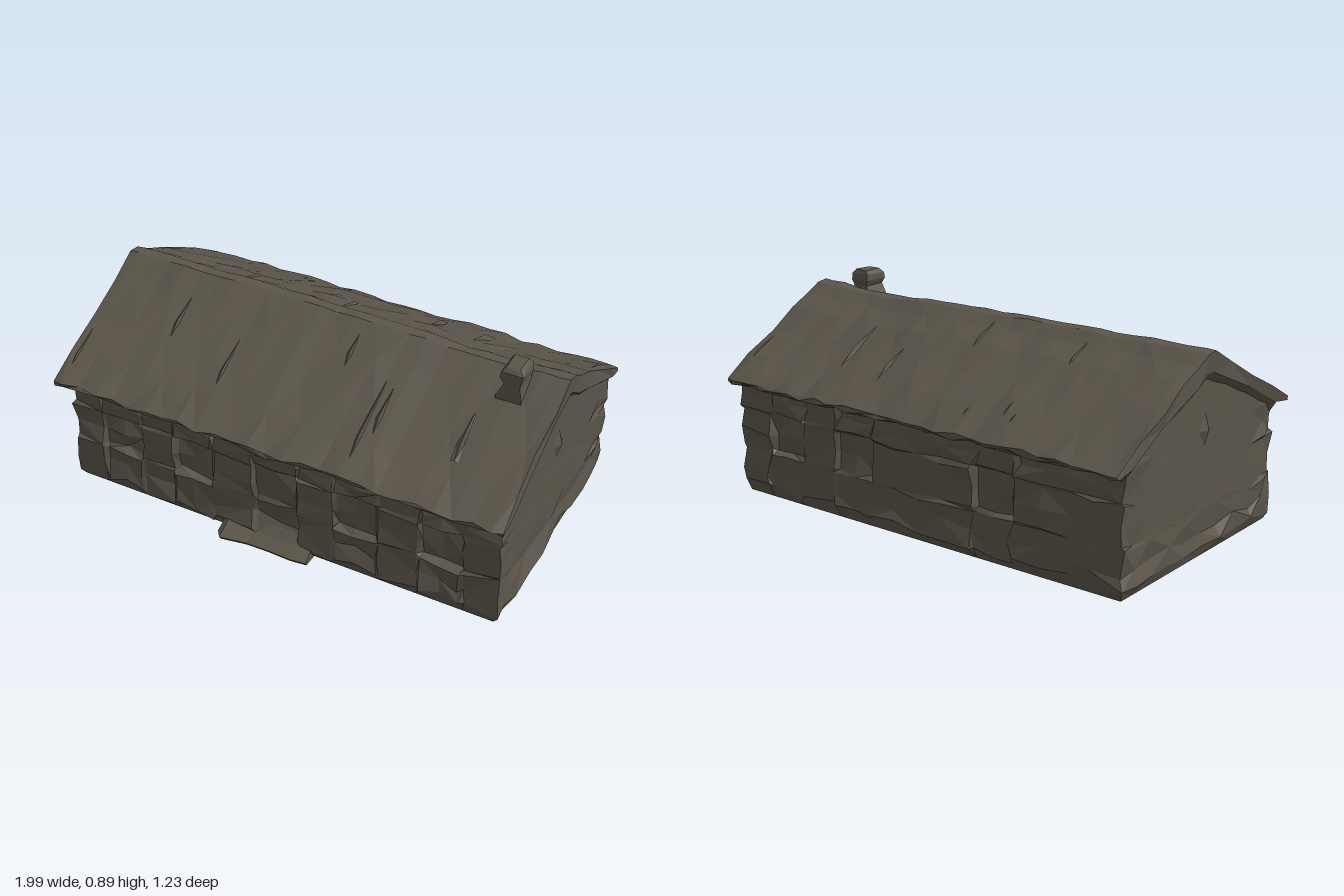
import * as THREE from 'three';

const stone = new THREE.MeshStandardMaterial({ color: 0x5b554a, flatShading: true });
stone.name = 'weathered stone';

// Repeatable noise in -1..1 tied to a position, so shared corners stay joined
function noise(x, y, z, k) {
  const s = Math.sin(x * 127.1 + y * 311.7 + z * 74.7 + k * 53.3) * 43758.5453;
  return (s - Math.floor(s)) * 2 - 1;
}
function rough([x, y, z], ax, ay, az) {
  return [x + ax * noise(x, y, z, 1), y + ay * noise(x, y, z, 2), z + az * noise(x, y, z, 3)];
}

// Surface through rows of points
function grid(rows) {
  const n = rows[0].length, index = [];
  for (let r = 0; r < rows.length - 1; r++) {
    for (let c = 0; c < n - 1; c++) {
      const a = r * n + c, b = a + 1, d = a + n, e = d + 1;
      if ((r + c) % 2) index.push(a, b, e, a, e, d);
      else index.push(a, b, d, b, e, d);
    }
  }
  const g = new THREE.BufferGeometry();
  g.setAttribute('position', new THREE.Float32BufferAttribute(rows.flat(2), 3));
  g.setIndex(index);
  g.computeVertexNormals();
  return g;
}

function add(group, name, geometry) {
  const m = new THREE.Mesh(geometry, stone);
  m.name = name;
  group.add(m);
  return m;
}

const E = 0.008;
const YS = [0, 0.045, 0.11, 0.2 - E, 0.2 + E, 0.28, 0.37 - E, 0.37 + E, 0.43, 0.5];
const FRONT = 0.524, BACK = -0.538, SIDE = 0.96, INSET = 0.012;

// Footing tucks in at the ground and bulges just above it
function wallPoint(x, y, z, amount = 1, free = true) {
  const sx = Math.abs(x) === SIDE ? Math.sign(x) : 0;
  const sz = z === FRONT ? 1 : z === BACK ? -1 : 0;
  if (y === 0) return [x - sx * INSET, 0, z - sz * INSET];
  const p = rough([x, y, z], sx ? 0.013 * amount : 0.006, y < 0.15 ? 0.022 : 0.006,
    sz ? 0.013 * amount : 0.006);
  const flare = y < 0.05 ? 0.012 : 0;
  p[0] += sx * flare;
  p[2] += sz * flare;
  // Uneven courses and joints away from the openings
  if (free && y > 0.15 && y < 0.45) p[1] += 0.03 * noise(x, 0, z, 5);
  if (!sx && (y < 0.15 || y > 0.4)) p[0] += 0.025 * noise(0, y, z, 6);
  return p;
}

// Long wall with sunken openings, each [x0, x1, y0, y1]
function longWall(z, openings) {
  const xs = [];
  for (const [a, b] of openings) xs.push(a - E, a + E, (a + b) / 2, b - E, b + E);
  for (let i = 0; i <= 16; i++) {
    const x = i === 0 ? -SIDE : i === 16 ? SIDE : -SIDE + (i / 16) * 2 * SIDE;
    if (i === 0 || i === 16 || xs.every(v => Math.abs(v - x) > 0.045)) xs.push(x);
  }
  xs.sort((a, b) => (a - b) * Math.sign(z));
  return grid(YS.map(y => xs.map(x => {
    const free = openings.every(([a, b]) => x < a - 0.02 || x > b + 0.02);
    const p = wallPoint(x, y, z, 1, free);
    if (openings.some(([a, b, c, d]) => x > a && x < b && y > c && y < d)) p[2] -= Math.sign(z) * 0.025;
    return p;
  })));
}

// Gable wall rises from the eaves line to the underside of the roof
function gableWall(side) {
  const zs = [FRONT, 0.46, 0.36, 0.24, 0.12, 0, -0.12, -0.24, -0.36, -0.46, BACK];
  if (side < 0) zs.reverse();
  const rows = YS.map(y => zs.map(z =>
    wallPoint(side * SIDE, y, z, Math.abs(z) > 0.4 || y < 0.12 ? 1 : 0.1)));
  rows.push(zs.map(z => [side * SIDE, 0.5 + 0.23 * (1 - Math.abs(z) / 0.545), z * 0.99]));
  return grid(rows);
}

// Roof profile as [z, y]: top from front eave to back, and the matching underside
const TOP = [[0.59, 0.51], [0.45, 0.585], [0.3, 0.665], [0.14, 0.75], [0.01, 0.825], [-0.04, 0.822],
  [-0.1, 0.785], [-0.2, 0.74], [-0.33, 0.665], [-0.47, 0.59], [-0.607, 0.508]];
const UNDER = [[0.585, 0.492], [0.52, 0.457], [0.3, 0.575], [0.14, 0.645], [0.01, 0.69], [-0.03, 0.69],
  [-0.1, 0.66], [-0.2, 0.62], [-0.33, 0.56], [-0.53, 0.462], [-0.6, 0.492]];

function roofPoint(x, [z, y], under) {
  const eave = Math.abs(z) > 0.55;
  const p = rough([x, y, z], 0.007, under || eave ? 0.008 : 0.005, eave ? 0.012 : 0.002);
  if (!under && !eave) p[1] -= 0.018 * Math.exp(-(((x - 0.6) / 0.25) ** 2));
  // Soffit lifts outward at the verges
  if (under && !eave && Math.abs(x) > 0.98) p[1] += 0.045;
  return p;
}

function buildRoof(group) {
  const xs = [-0.986];
  for (let i = 0; i <= 24; i++) xs.push(-0.95 + (i / 24) * 1.9);
  xs.push(0.986);
  const top = TOP.map(q => xs.map(x => roofPoint(x, q, false)));
  const under = UNDER.map(q => xs.map(x => roofPoint(x, q, true)));
  add(group, 'roofTop', grid(top));
  add(group, 'roofUnderside', grid([...under].reverse()));
  add(group, 'frontEave', grid([under[0], top[0]]));
  add(group, 'backEave', grid([top.at(-1), under.at(-1)]));
  const end = xs.length - 1;
  add(group, 'leftVerge', grid([under.map(r => r[end]), top.map(r => r[end])]));
  add(group, 'rightVerge', grid([top.map(r => r[0]), under.map(r => r[0])]));

  // Lifted roof splinters running down the slopes, as [x, lower z, upper z]
  const height = z => z > 0 ? 0.51 + (0.59 - z) * 0.543 : 0.508 + (z + 0.607) * 0.556;
  const splinters = [[-0.33, 0.44, 0.2], [0.32, 0.55, 0.2], [0.36, 0.4, 0.22], [-0.62, 0.3, 0.1],
    [0.7, 0.4, 0.22], [-0.96, 0.56, 0.3], [0.13, 0.2, 0.05], [-0.43, -0.57, -0.36],
    [-0.38, -0.55, -0.3], [-0.48, -0.24, -0.08], [-0.22, -0.56, -0.42], [0.28, -0.46, -0.26],
    [0.5, -0.42, -0.2], [0.95, -0.54, -0.3], [-0.02, -0.25, -0.06]];
  for (const [x, low, high] of splinters) {
    const s = Math.sign(low), mid = low + (high - low) * 0.35;
    const at = (dx, z, lift) => [x + dx * s, height(z) + lift, z];
    add(group, 'roofSplinter', grid([
      [at(-0.012, low, -0.012), at(0.004, low, -0.006), at(0.02, low, -0.012)],
      [at(-0.016, mid, -0.012), at(0.004, mid, 0.014), at(0.012, mid, -0.012)],
      [at(-0.004, high, -0.012), at(0, high, -0.008), at(0.004, high, -0.012)]]));
  }
}

// Square, slightly crooked chimney stack from stacked rings [y, x0, x1, z0, z1]
function chimney() {
  const rings = [[0.68, 0.74, 0.85, 0.03, 0.14], [0.755, 0.745, 0.845, 0.03, 0.14],
    [0.815, 0.768, 0.838, 0.035, 0.137], [0.84, 0.757, 0.848, 0.025, 0.14],
    [0.865, 0.76, 0.846, 0.027, 0.138], [0.884, 0.772, 0.832, 0.031, 0.118]];
  const rows = rings.map(([y, a, b, c, d]) =>
    [[a, d], [b, d], [b, c], [a, c], [a, d]].map(([x, z]) => rough([x, y, z], 0.005, 0.003, 0.003)));
  rows.push(Array(5).fill([0.803, 0.882, 0.08]));
  return grid(rows);
}

// Worn doorstep sloping out from the front wall
function buildDoorstep(group) {
  const xs = [-0.24, -0.215, -0.1, 0, 0.1, 0.17];
  const reach = [-0.02, 0.012, -0.008, -0.01, -0.006, -0.014];
  const rows = [[0.075, 0.5], [0.045, 0.545], [0.016, 0.6], [0, 0.59], [0, 0.5]].map(([y, z]) =>
    xs.map((x, i) => [x, y, z > 0.52 ? z + reach[i] : z]));
  add(group, 'doorstepTop', grid([...rows].reverse()));
  const [top, , lip, toe, heel] = rows;
  add(group, 'doorstepEnd', grid([[toe[5], heel[5]], [lip[5], top[5]]]));
  add(group, 'doorstepEnd', grid([[heel[0], toe[0]], [top[0], lip[0]]]));
}

export function createModel() {
  const model = new THREE.Group();
  model.name = 'longCottage';

  // Walls
  add(model, 'frontWall', longWall(FRONT, [
    [-0.82, -0.63, 0.2, 0.37], [-0.47, -0.29, 0.2, 0.37], [-0.1, 0.1, 0.05, 0.37],
    [0.26, 0.45, 0.2, 0.37], [0.63, 0.81, 0.2, 0.37]]));
  add(model, 'backWall', longWall(BACK, [
    [-0.47, -0.28, 0.2, 0.37], [0.24, 0.43, 0.2, 0.37], [0.62, 0.8, 0.2, 0.37]]));
  for (const side of [1, -1]) {
    add(model, side > 0 ? 'leftGable' : 'rightGable', gableWall(side));
    // Small chipped vent high on the gable
    const vent = add(model, 'gableVent', new THREE.ConeGeometry(0.075, 0.02, 4));
    vent.rotation.z = -side * Math.PI / 2;
    vent.scale.z = 0.6;
    vent.position.set(side * (SIDE + 0.008), 0.515, 0);
  }

  // Floor meets the foot of the walls
  const floor = add(model, 'floor',
    new THREE.PlaneGeometry(2 * (SIDE - INSET), FRONT - BACK - 2 * INSET));
  floor.rotation.x = Math.PI / 2;
  floor.position.z = (FRONT + BACK) / 2;

  const doorstep = new THREE.Group();
  doorstep.name = 'doorstep';
  buildDoorstep(doorstep);
  model.add(doorstep);

  const roof = new THREE.Group();
  roof.name = 'roof';
  buildRoof(roof);
  model.add(roof);
  add(model, 'chimney', chimney());
  return model;
}
